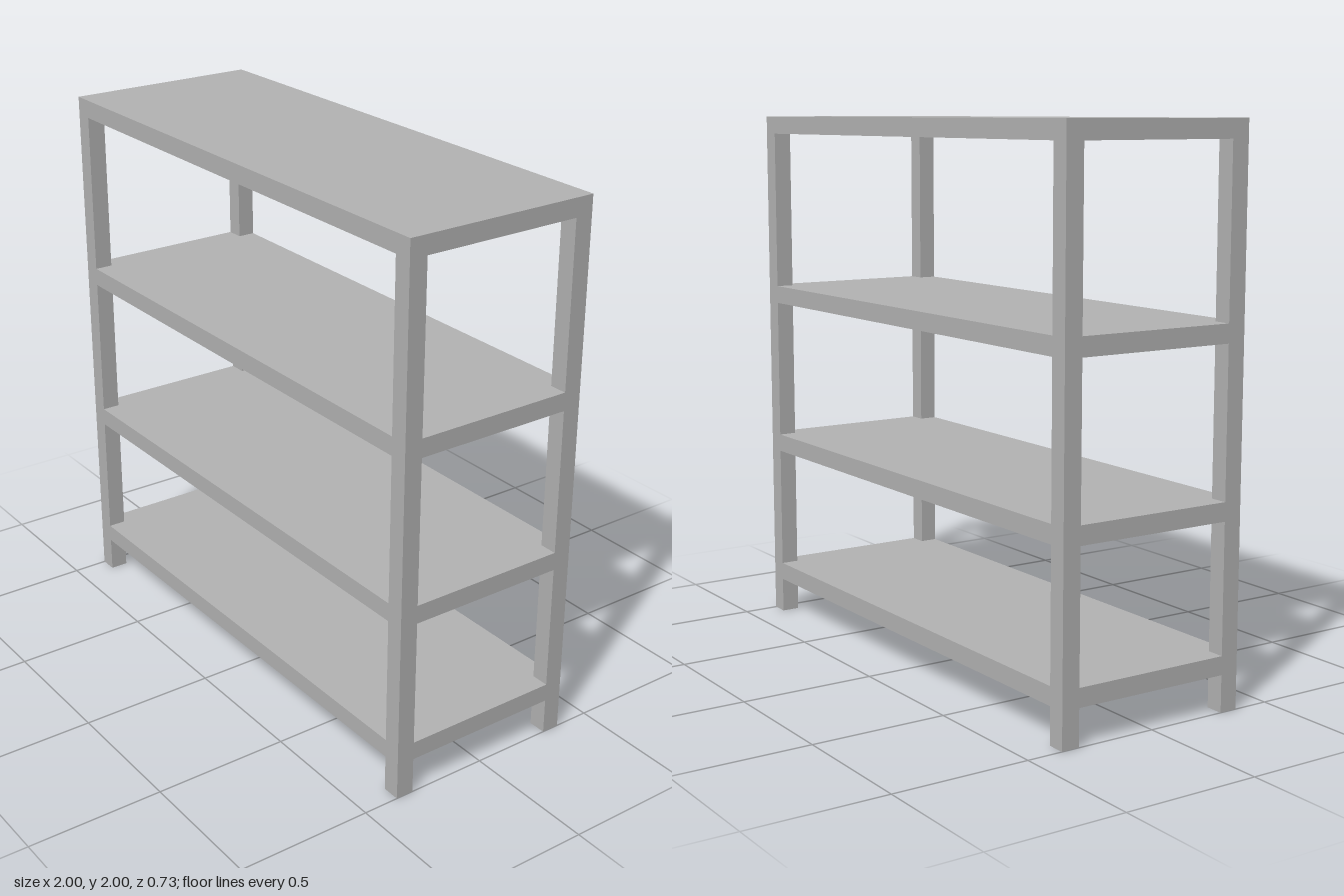
import * as THREE from 'three';

export function createModel() {
  const W = 2, D = 0.734, H = 2, T = 0.067; // overall size; T = post and board thickness
  const grey = new THREE.MeshStandardMaterial({ color: 0xb2b2b2 });
  grey.name = 'grey';

  const group = new THREE.Group();
  group.name = 'shelfUnit';

  const add = (name, geometry, x, y, z) => {
    const mesh = new THREE.Mesh(geometry, grey);
    mesh.name = name;
    mesh.position.set(x, y, z);
    group.add(mesh);
  };

  // Four square posts, ending under the top board
  const postHeight = H - T;
  const postGeometry = new THREE.BoxGeometry(T, postHeight, T);
  for (const sx of [1, -1]) {
    for (const sz of [1, -1]) {
      const name = (sz > 0 ? 'front' : 'back') + (sx > 0 ? 'Left' : 'Right') + 'Post';
      add(name, postGeometry, sx * (W - T) / 2, postHeight / 2, sz * (D - T) / 2);
    }
  }

  // Full top board
  add('topBoard', new THREE.BoxGeometry(W, T, D), 0, H - T / 2, 0);

  // Shelves, notched at the corners to fit round the posts
  const a = W / 2, b = D / 2, c = a - T, d = b - T;
  const outline = new THREE.Shape([
    [c, -b], [c, -d], [a, -d], [a, d], [c, d], [c, b],
    [-c, b], [-c, d], [-a, d], [-a, -d], [-c, -d], [-c, -b],
  ].map(([x, y]) => new THREE.Vector2(x, y)));
  const shelfGeometry = new THREE.ExtrudeGeometry(outline, { depth: T, bevelEnabled: false });
  shelfGeometry.rotateX(-Math.PI / 2);
  const shelves = { lowerShelf: 0.2, middleShelf: 0.733, upperShelf: 1.333 };
  for (const [name, top] of Object.entries(shelves)) add(name, shelfGeometry, 0, top - T, 0);

  return group;
}
